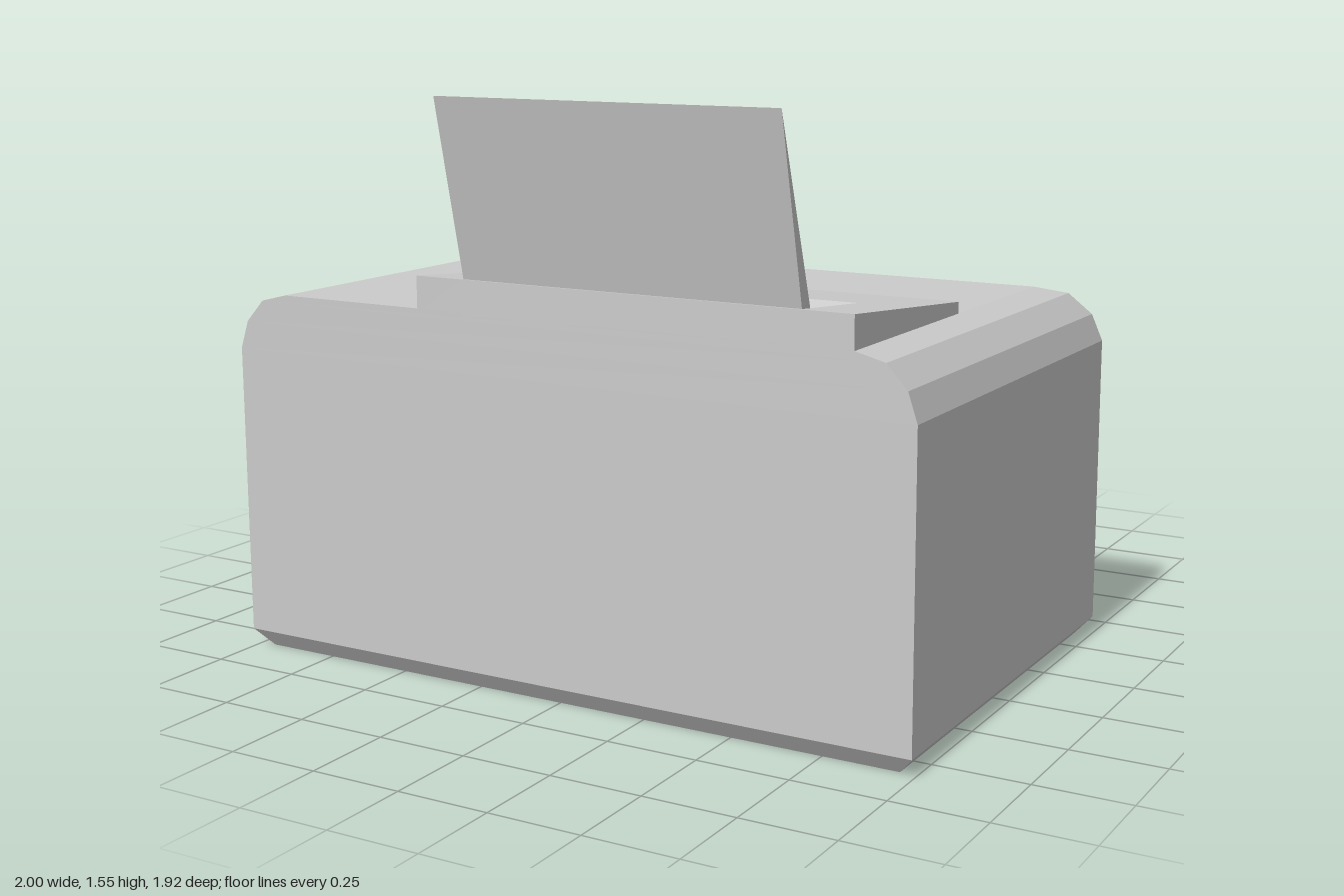
import * as THREE from 'three';

const material = new THREE.MeshStandardMaterial({ color: 0xcccccc, flatShading: true });
const insideMaterial = new THREE.MeshStandardMaterial({ color: 0xcccccc, flatShading: true, side: THREE.DoubleSide });

const toVectors = (points) => points.map(([u, v]) => new THREE.Vector2(u, v));

function addMesh(parent, name, geometry, mat = material) {
  const mesh = new THREE.Mesh(geometry, mat);
  mesh.name = name;
  parent.add(mesh);
  return mesh;
}

// Extrudes a (z, y) side profile along x from x0 to x1
function sideExtrude(profile, x0, x1) {
  const geometry = new THREE.ExtrudeGeometry(new THREE.Shape(toVectors(profile)), {
    depth: x1 - x0,
    bevelEnabled: false,
  });
  return geometry.rotateY(-Math.PI / 2).translate(x1, 0, 0);
}

// L-shaped footprint: x, z, and the inward direction of each corner
const BACK = -0.385;
const corners = [
  [-1, -0.62, 1, 1],
  [-0.4, -0.62, -1, 1],
  [-0.4, BACK, -1, 1],
  [1, BACK, -1, 1],
  [1, 0.865, -1, -1],
  [-1, 0.865, 1, -1],
];

// Levels: height, inset in x, inset in z, inset of the flat +z wall
const levels = [
  [0, 0.045, 0.035, 0.035],
  [0.05, 0, 0, 0],
  [0.845, 0, 0, 0],
  [0.92, 0.025, 0.019, 0],
  [0.98, 0.08, 0.06, 0],
  [1, 0.16, 0.12, 0],
];

const ring = ([y, ix, iz, flat]) =>
  corners.map(([x, z, dx, dz]) => [x + dx * ix, y, z + dz * (dz > 0 ? iz : flat)]);

// Openings: output bay (x0, x1, y0, y1, depth) and paper slot
const bay = { x0: -0.4, x1: 0.86, y0: 0.18, y1: 0.62, depth: 0.23 };
const paper = { x0: -0.26, x1: 0.7 };

function buildBody() {
  const body = new THREE.Group();
  body.name = 'body';
  const rings = levels.map(ring);

  // Side walls with chamfered foot and rounded shoulders
  const positions = [];
  for (let i = 0; i < rings.length - 1; i++) {
    for (let j = 0; j < corners.length; j++) {
      if (i === 1 && j === 2) continue; // wall holding the output bay
      const k = (j + 1) % corners.length;
      const a = rings[i][j], b = rings[i][k], c = rings[i + 1][k], d = rings[i + 1][j];
      positions.push(...a, ...d, ...b, ...b, ...d, ...c);
    }
  }
  const walls = new THREE.BufferGeometry();
  walls.setAttribute('position', new THREE.Float32BufferAttribute(positions, 3));
  walls.computeVertexNormals();
  addMesh(body, 'shell', walls);

  // Wall around the output bay
  const outline = [
    [-0.4, 0.05], [1, 0.05], [1, 0.845], [-0.4, 0.845],
    [bay.x0, bay.y1], [bay.x1, bay.y1], [bay.x1, bay.y0], [bay.x0, bay.y0],
  ].map(([x, y]) => [-x, y]);
  const bayWall = new THREE.ShapeGeometry(new THREE.Shape(toVectors(outline)));
  addMesh(body, 'outputWall', bayWall.rotateY(Math.PI).translate(0, 0, BACK));

  // Inside of the bay: a box without its outer face
  const inside = new THREE.BoxGeometry(bay.x1 - bay.x0, bay.y1 - bay.y0, bay.depth);
  inside.setIndex([...inside.index.array].slice(0, 30));
  inside.clearGroups();
  inside.translate((bay.x0 + bay.x1) / 2, (bay.y0 + bay.y1) / 2, BACK + bay.depth / 2);
  addMesh(body, 'outputBay', inside, insideMaterial);

  // Lid, open beneath the paper slot
  const lid = new THREE.Shape(toVectors(rings[5].map(([x, , z]) => [x, -z])));
  lid.holes.push(new THREE.Path(toVectors([
    [paper.x0, -0.6], [paper.x1, -0.6], [paper.x1, -0.84], [paper.x0, -0.84],
  ])));
  addMesh(body, 'lid', new THREE.ShapeGeometry(lid).rotateX(-Math.PI / 2).translate(0, 1, 0));

  // Underside
  const base = new THREE.Shape(toVectors(rings[0].map(([x, , z]) => [x, z])));
  addMesh(body, 'underside', new THREE.ShapeGeometry(base).rotateX(Math.PI / 2));
  return body;
}

function buildFeeder() {
  const feeder = new THREE.Group();
  feeder.name = 'paperFeeder';
  const solid = [[0.26, 0.99], [0.865, 0.99], [0.865, 1.085], [0.26, 1.03]];
  // Middle section with a floor sloping down to the paper
  const notched = [
    [0.26, 0.95], [0.865, 0.95], [0.865, 1.085], [0.852, 1.084],
    [0.83, 0.98], [0.78, 0.98], [0.55, 1.056], [0.26, 1.03],
  ];
  addMesh(feeder, 'feederRightEnd', sideExtrude(solid, -0.4, paper.x0));
  addMesh(feeder, 'feederLeftEnd', sideExtrude(solid, paper.x1, 0.84));
  addMesh(feeder, 'feederSlot', sideExtrude(notched, paper.x0, paper.x1));
  return feeder;
}

export function createModel() {
  const model = new THREE.Group();
  model.name = 'printer';
  model.add(buildBody(), buildFeeder());

  // Tapered paper support and output tray
  const support = [[0.78, 0.98], [0.83, 0.98], [0.96, 1.55]];
  addMesh(model, 'paperSupport', sideExtrude(support, paper.x0, paper.x1));
  const tray = [[BACK, 0.105], [BACK, 0.18], [-0.96, 0.27]];
  addMesh(model, 'outputTray', sideExtrude(tray, paper.x0, paper.x1));
  return model;
}
